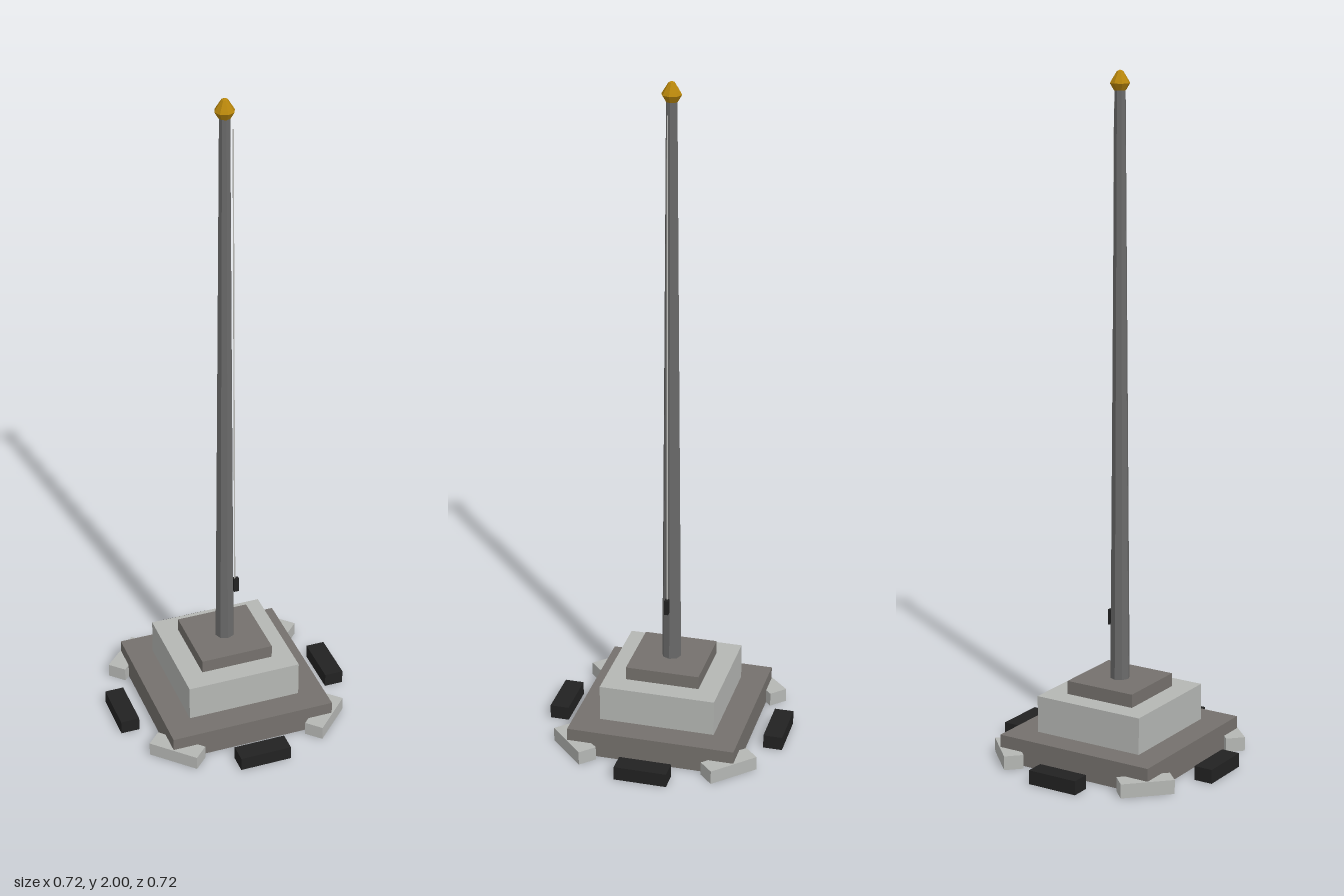
import * as THREE from 'three';

const mat = (name, color) => {
  const m = new THREE.MeshStandardMaterial({ color });
  m.name = name;
  return m;
};

export function createModel() {
  const group = new THREE.Group();
  const darkStone = mat('dark stone', 0x75716d);
  const lightStone = mat('light stone', 0xb5b7b4);
  const black = mat('black', 0x222222);
  const steel = mat('steel', 0x6a6a6a);
  const gold = mat('gold', 0xb8860b);
  const ropeGrey = mat('rope grey', 0xc8c8c4);

  const add = (name, geometry, material, x = 0, y = 0, z = 0) => {
    const mesh = new THREE.Mesh(geometry, material);
    mesh.name = name;
    mesh.position.set(x, y, z);
    group.add(mesh);
    return mesh;
  };
  // Faceted geometry with hard edges
  const faceted = (geometry) => {
    const g = geometry.toNonIndexed();
    g.computeVertexNormals();
    return g;
  };

  // Stepped plinth: width, bottom, top
  const tiers = [
    ['lowerStep', 0.505, 0, 0.08, darkStone],
    ['pedestal', 0.348, 0.08, 0.19, lightStone],
    ['upperStep', 0.222, 0.19, 0.23, darkStone],
  ];
  for (const [name, w, y0, y1, m] of tiers) {
    add(name, new THREE.BoxGeometry(w, y1 - y0, w), m, 0, (y0 + y1) / 2, 0);
  }

  // Four black blocks on the sides, four light blocks across the corners
  const sideBlock = new THREE.BoxGeometry(0.157, 0.042, 0.057);
  const cornerBlock = new THREE.BoxGeometry(0.156, 0.042, 0.057);
  for (let i = 0; i < 4; i++) {
    const a = i * Math.PI / 2;
    const b = a + Math.PI / 4;
    add('sideBlock', sideBlock, black, Math.sin(a) * 0.331, 0.021, Math.cos(a) * 0.331).rotation.y = a;
    add('cornerBlock', cornerBlock, lightStone, Math.sin(b) * 0.332, 0.021, Math.cos(b) * 0.332).rotation.y = b;
  }

  // Tapered eight-sided pole
  add('pole', faceted(new THREE.CylinderGeometry(0.016, 0.029, 1.72, 8)), steel, 0, 1.09, 0);

  // Finial: flared collar with a pointed cap
  const profile = [[0, 1.943], [0.017, 1.943], [0.029, 1.963], [0.024, 1.972], [0.009, 1.996], [0, 2]]
    .map(([r, y]) => new THREE.Vector2(r, y));
  add('finial', faceted(new THREE.LatheGeometry(profile, 8)), gold);

  // Halyard running up the pole to the cleat
  const rope = new THREE.LineCurve3(new THREE.Vector3(0.03, 0.41, 0.006), new THREE.Vector3(0.022, 1.91, 0.006));
  add('halyard', new THREE.TubeGeometry(rope, 1, 0.002, 5), ropeGrey);
  add('cleat', new THREE.BoxGeometry(0.016, 0.046, 0.012), black, 0.034, 0.408, 0.006);

  return group;
}
